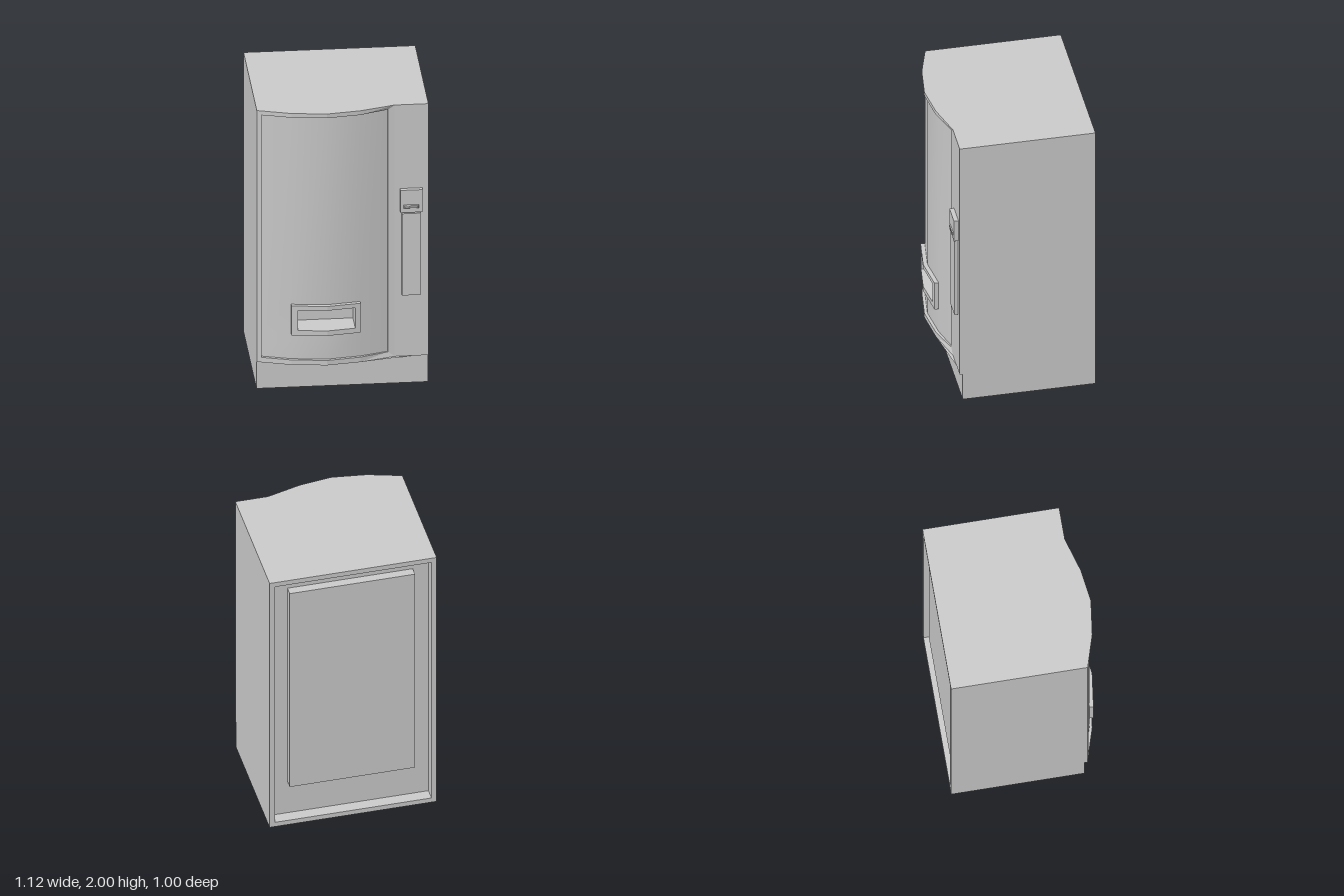
import * as THREE from 'three';

// Front bulge outline seen from above: [x, z]
const bulge = [[-0.56, 0.4], [-0.34, 0.467], [-0.11, 0.497], [0.11, 0.467], [0.34, 0.4], [0.56, 0.4]];

function bulgeZ(x) {
  const i = Math.max(1, bulge.findIndex(p => p[0] >= x));
  const [a, b] = [bulge[i - 1], bulge[i]];
  return a[1] + (b[1] - a[1]) * (x - a[0]) / (b[0] - a[0]);
}
const panelZ = x => bulgeZ(x) - 0.02;

// Closed loop, counter-clockwise from the front: bottom edge, then top edge back
function loop(xs, y0, y1, z) {
  return [...xs.map(x => [x, y0, z(x)]), ...[...xs].reverse().map(x => [x, y1, z(x)])];
}

// Collects flat polygons (fans, corners counter-clockwise from outside) into one mesh
class Surface {
  constructor() { this.pos = []; }
  face(pts) {
    for (let i = 1; i < pts.length - 1; i++) this.pos.push(...pts[0], ...pts[i], ...pts[i + 1]);
  }
  bridge(a, b) {
    a.forEach((p, i) => {
      const j = (i + 1) % a.length;
      this.face([p, a[j], b[j], b[i]]);
    });
  }
  mesh(name, material) {
    const g = new THREE.BufferGeometry();
    g.setAttribute('position', new THREE.Float32BufferAttribute(this.pos, 3));
    g.computeVertexNormals();
    const m = new THREE.Mesh(g, material);
    m.name = name;
    return m;
  }
}

// Box given by its limits
function box(name, x0, x1, y0, y1, z0, z1, material) {
  const m = new THREE.Mesh(new THREE.BoxGeometry(x1 - x0, y1 - y0, z1 - z0), material);
  m.position.set((x0 + x1) / 2, (y0 + y1) / 2, (z0 + z1) / 2);
  m.name = name;
  return m;
}

function createCabinet(material) {
  const s = new Surface();
  const flip = ([first, ...rest]) => [first, ...rest.reverse()];

  // Side walls with the toe kick at the bottom
  const side = x => [[x, 2, -0.5], [x, 2, 0.4], [x, 0.2, 0.4], [x, 0.2, 0.38], [x, 0, 0.38], [x, 0, -0.5]];
  s.face(side(0.56));
  s.face(flip(side(-0.56)));

  // Top, underside and overhang above the toe kick
  const plan = (y, zBack, front) =>
    [[0.56, y, zBack], [-0.56, y, zBack], ...front.map(([x, z]) => [x, y, z])];
  s.face(plan(2, -0.5, bulge));
  s.face(flip(plan(0, -0.5, [[-0.56, 0.38], [0.56, 0.38]])));
  s.face(flip(plan(0.2, 0.38, bulge)));

  // Toe kick front and flat control column
  s.face(loop([-0.56, 0.56], 0, 0.2, () => 0.38));
  s.face(loop([0.34, 0.56], 0.2, 2, () => 0.4));

  // Curved window frame with its recess
  const xs = [-0.53, -0.34, -0.11, 0.11, 0.295];
  const inner = loop(xs, 0.235, 1.97, x => (x > 0.29 ? 0.402 : bulgeZ(x)));
  s.bridge(loop(bulge.slice(0, 5).map(p => p[0]), 0.2, 2, bulgeZ), inner);
  s.bridge(inner, loop(xs, 0.235, 1.97, panelZ));

  // Back rim, recess and recess floor
  const back = (w, y0, y1, z) => loop([w, -w], y0, y1, () => z);
  const rim = back(0.525, 0.035, 1.965, -0.5);
  const floor = back(0.525, 0.035, 1.965, -0.42);
  s.bridge(back(0.56, 0, 2, -0.5), rim);
  s.bridge(rim, floor);
  s.face(floor);
  return s.mesh('cabinet', material);
}

// Smooth curved front panel, left open behind the delivery hatch
function createFrontPanel(material) {
  const xs = [-0.53, -0.34, -0.11, 0.11, 0.295];
  const ys = [0.235, 0.415, 0.625, 1.97];
  const pos = [], index = [];
  ys.forEach(y => xs.forEach(x => pos.push(x, y, panelZ(x))));
  for (let r = 0; r < 3; r++) {
    for (let c = 0; c < 4; c++) {
      if (r === 1 && (c === 1 || c === 2)) continue;
      const a = r * 5 + c;
      index.push(a, a + 1, a + 6, a, a + 6, a + 5);
    }
  }
  const g = new THREE.BufferGeometry();
  g.setAttribute('position', new THREE.Float32BufferAttribute(pos, 3));
  g.setIndex(index);
  g.computeVertexNormals();
  const m = new THREE.Mesh(g, material);
  m.name = 'frontPanel';
  return m;
}

// Raised curved surround with a deep chute behind it
function createHatch(material) {
  const s = new Surface();
  const outer = [-0.34, -0.11, 0.11], opening = [-0.3, -0.11, 0.075];
  const frontZ = x => panelZ(x) + 0.028;
  const lip = loop(outer, 0.415, 0.625, frontZ);
  const mouth = loop(opening, 0.45, 0.595, frontZ);
  const end = loop(opening, 0.45, 0.595, () => 0.32);
  s.bridge(loop(outer, 0.415, 0.625, panelZ), lip);
  s.bridge(lip, mouth);
  s.bridge(mouth, end);
  s.face(end);
  return s.mesh('deliveryHatch', material);
}

// Tapered lip around a narrow slot
function createSlot(material) {
  const s = new Surface();
  const rect = (inset, z) => loop([0.395 + inset, 0.495 - inset], 1.27 + inset, 1.296 - inset, () => z);
  s.bridge(rect(0, 0.43), rect(0.005, 0.437));
  s.bridge(rect(0.005, 0.437), rect(0.008, 0.437));
  s.bridge(rect(0.008, 0.437), rect(0.008, 0.431));
  s.face(rect(0.008, 0.431));
  return s.mesh('paymentSlot', material);
}

export function createModel() {
  const group = new THREE.Group();
  group.name = 'vendingMachine';
  const flat = new THREE.MeshStandardMaterial({ color: 0xcccccc, flatShading: true });
  const smooth = new THREE.MeshStandardMaterial({ color: 0xcccccc, side: THREE.DoubleSide });
  group.add(
    createCabinet(flat),
    createFrontPanel(smooth),
    createHatch(flat),
    box('paymentUnit', 0.375, 0.52, 1.24, 1.4, 0.395, 0.43, flat),
    createSlot(flat),
    box('controlPlate', 0.385, 0.507, 0.645, 1.23, 0.395, 0.425, flat),
    box('rearCover', -0.42, 0.42, 0.29, 1.875, -0.48, -0.415, flat),
  );
  return group;
}
